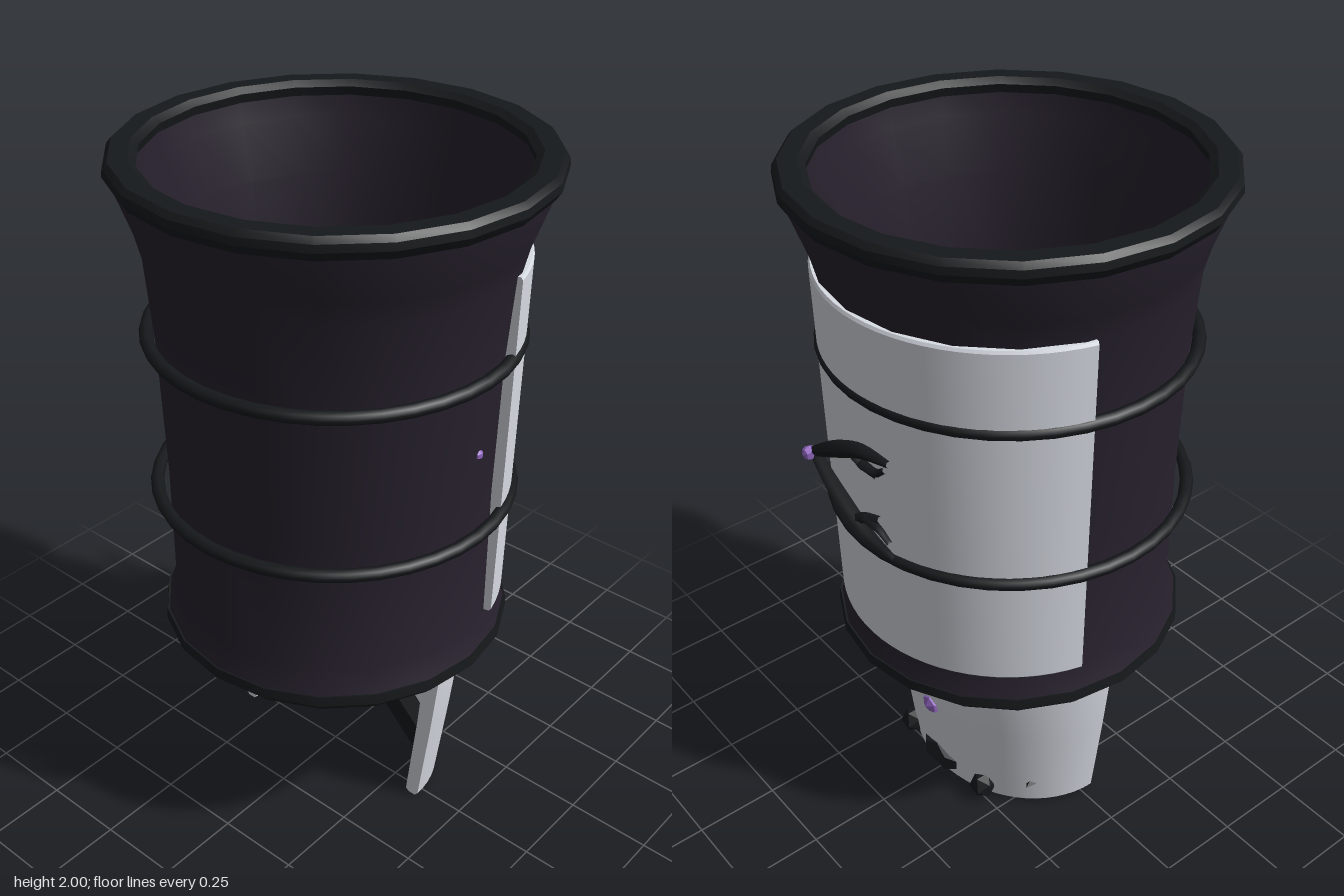
import * as THREE from 'three';
import { toCreasedNormals } from 'three/addons/utils/BufferGeometryUtils.js';

const V = (x, y, z) => new THREE.Vector3(x, y, z);
const mat = (color, flatShading = false) => new THREE.MeshStandardMaterial({ color, flatShading });

export function createModel() {
  const model = new THREE.Group();
  const cloth = mat(0x26202c), black = mat(0x16191b), facet = mat(0x16191b, true);
  const plate = mat(0xd8dce4), purple = mat(0x9468c4, true);

  const add = (name, geometry, material, pos = [0, 0, 0], scale = [1, 1, 1]) => {
    const mesh = new THREE.Mesh(geometry, material);
    mesh.name = name;
    mesh.position.set(...pos);
    mesh.scale.set(...scale);
    model.add(mesh);
    return mesh;
  };

  // Closed ring turned from a counterclockwise [radius, y] profile
  const ring = (profile) => toCreasedNormals(new THREE.LatheGeometry(
    [...profile, profile[0]].map(([r, y]) => new THREE.Vector2(r, y)), 20), 0.5);

  // Curved plate: a [radius, y] profile swept around +x, with capped ends
  const curvedPlate = (profile, halfAngle, steps, scaleX = 1) => {
    const n = profile.length, pos = [], index = [];
    for (let i = 0; i <= steps; i++) {
      const a = Math.PI / 2 - halfAngle + (2 * halfAngle * i) / steps;
      for (const [r, y] of profile) pos.push(r * Math.sin(a) * scaleX, y, r * Math.cos(a));
    }
    for (let i = 0; i < steps; i++) for (let j = 0; j < n; j++) {
      const a = i * n + j, d = i * n + (j + 1) % n;
      index.push(a, a + n, d, a + n, d + n, d);
    }
    const contour = profile.map(([r, y]) => new THREE.Vector2(r, y));
    for (const [a, b, c] of THREE.ShapeUtils.triangulateShape(contour, [])) {
      const e = steps * n;
      index.push(a, b, c, e + a, e + c, e + b);
    }
    const g = new THREE.BufferGeometry();
    g.setAttribute('position', new THREE.Float32BufferAttribute(pos, 3));
    g.setIndex(index);
    return toCreasedNormals(g, 0.5);
  };

  // Tube whose thickness follows a rule along its length
  const taperedTube = (points, radius, rule) => {
    const curve = new THREE.CatmullRomCurve3(points), steps = 14, sides = 6;
    const g = new THREE.TubeGeometry(curve, steps, radius, sides);
    const p = g.attributes.position, v = V();
    for (let i = 0; i < p.count; i++) {
      const t = Math.floor(i / (sides + 1)) / steps, c = curve.getPointAt(t);
      v.fromBufferAttribute(p, i).sub(c).multiplyScalar(rule(t)).add(c);
      p.setXYZ(i, v.x, v.y, v.z);
    }
    g.computeVertexNormals();
    return g;
  };

  // Hollow sleeve with flared top and bottom
  add('sleeve', ring([
    [0.415, 0.575], [0.49, 0.575], [0.505, 0.61], [0.475, 0.69], [0.474, 1.1],
    [0.485, 1.5], [0.503, 1.74], [0.52, 1.81], [0.57, 1.95], [0.57, 1.985],
    [0.51, 1.985], [0.495, 1.9], [0.45, 1.75], [0.425, 1.4], [0.415, 0.9],
  ]), cloth);
  add('topRim', ring([
    [0.51, 1.94], [0.57, 1.94], [0.586, 1.965], [0.583, 1.985], [0.57, 2],
    [0.52, 2], [0.5, 1.985],
  ]), black);
  add('bottomRim', ring([
    [0.415, 0.56], [0.485, 0.56], [0.512, 0.59], [0.508, 0.62], [0.49, 0.615], [0.43, 0.6],
  ]), black);

  // Two raised bands
  for (const y of [1.035, 1.505]) {
    const g = new THREE.TorusGeometry(0.503, 0.019, 8, 40);
    add('band', g.rotateX(Math.PI / 2), black, [-0.005, y, 0]);
  }

  // Outer armour plate on the left side
  add('outerPlate', curvedPlate([
    [0.45, 0.69], [0.488, 0.69], [0.494, 0.697], [0.514, 1.732], [0.509, 1.74], [0.47, 1.74],
  ], THREE.MathUtils.degToRad(75), 32), plate);

  // Half-round cuff plate below the sleeve
  add('cuffPlate', curvedPlate([
    [0.32, 0.01], [0.33, 0], [0.355, 0], [0.365, 0.012], [0.402, 0.3], [0.431, 0.56],
    [0.43, 0.585], [0.415, 0.595], [0.39, 0.595], [0.378, 0.58], [0.353, 0.3],
  ], Math.PI / 2, 32, 0.85), plate, [-0.035, 0, 0]);

  // Grip pad inside the cuff
  const pad = new THREE.Shape();
  pad.moveTo(0.075, -0.28);
  pad.lineTo(0.11, -0.288);
  pad.quadraticCurveTo(0.22, -0.18, 0.25, 0);
  pad.quadraticCurveTo(0.22, 0.18, 0.11, 0.288);
  pad.lineTo(0.075, 0.28);
  pad.lineTo(0.22, 0);
  const padGeo = new THREE.ExtrudeGeometry(pad, { depth: 0.1, bevelEnabled: false });
  add('gripPad', padGeo.rotateX(-Math.PI / 2), facet, [0, 0.045, 0]);

  // Studs and spikes along the cuff's lower edge
  add('centreStud', new THREE.DodecahedronGeometry(1), facet, [0.275, 0.065, 0], [0.04, 0.045, 0.085]);
  for (const s of [-1, 1]) {
    add('sideStud', new THREE.IcosahedronGeometry(0.042), facet, [0.25, 0.05, 0.18 * s]);
    const spike = new THREE.ConeGeometry(0.034, 0.06, 4).rotateZ(-Math.PI / 2);
    add('spike', spike, facet, [0.15, 0.09, 0.295 * s]).rotation.y = -0.35 * s;
  }

  // Gems
  const gem = (name, pos, scale) =>
    add(name, new THREE.SphereGeometry(1, 6, 4).rotateZ(Math.PI / 2), purple, pos, scale);
  gem('cuffGem', [0.281, 0.295, 0], [0.046, 0.038, 0.044]);
  gem('branchGem', [0.56, 1.27, 0.14], [0.021, 0.022, 0.022]);
  gem('frontGem', [0.02, 1.27, 0.472], [0.015, 0.015, 0.015]);

  // Pair of mirrored branches springing from the outer gem
  for (const s of [-1, 1]) {
    const path = (list) => list.map(([x, y, z]) => V(x, 1.27 + s * y, z));
    add('branch', taperedTube(path([
      [0.545, 0, 0.14], [0.55, 0.045, 0.07], [0.552, 0.09, -0.01],
      [0.55, 0.13, -0.1], [0.545, 0.148, -0.21],
    ]), 0.022, (t) => 0.7 + 0.5 * Math.sin(Math.PI * t) - 0.3 * t), black);
    add('innerTwig', taperedTube(path([
      [0.55, 0.11, -0.05], [0.545, 0.085, -0.09], [0.535, 0.068, -0.14],
    ]), 0.016, (t) => 1.1 - 0.5 * t), black);
    add('outerTwig', taperedTube(path([
      [0.545, 0.085, -0.09], [0.545, 0.09, -0.15], [0.54, 0.115, -0.185],
    ]), 0.014, (t) => 1.1 - 0.5 * t), black);
  }

  return model;
}
